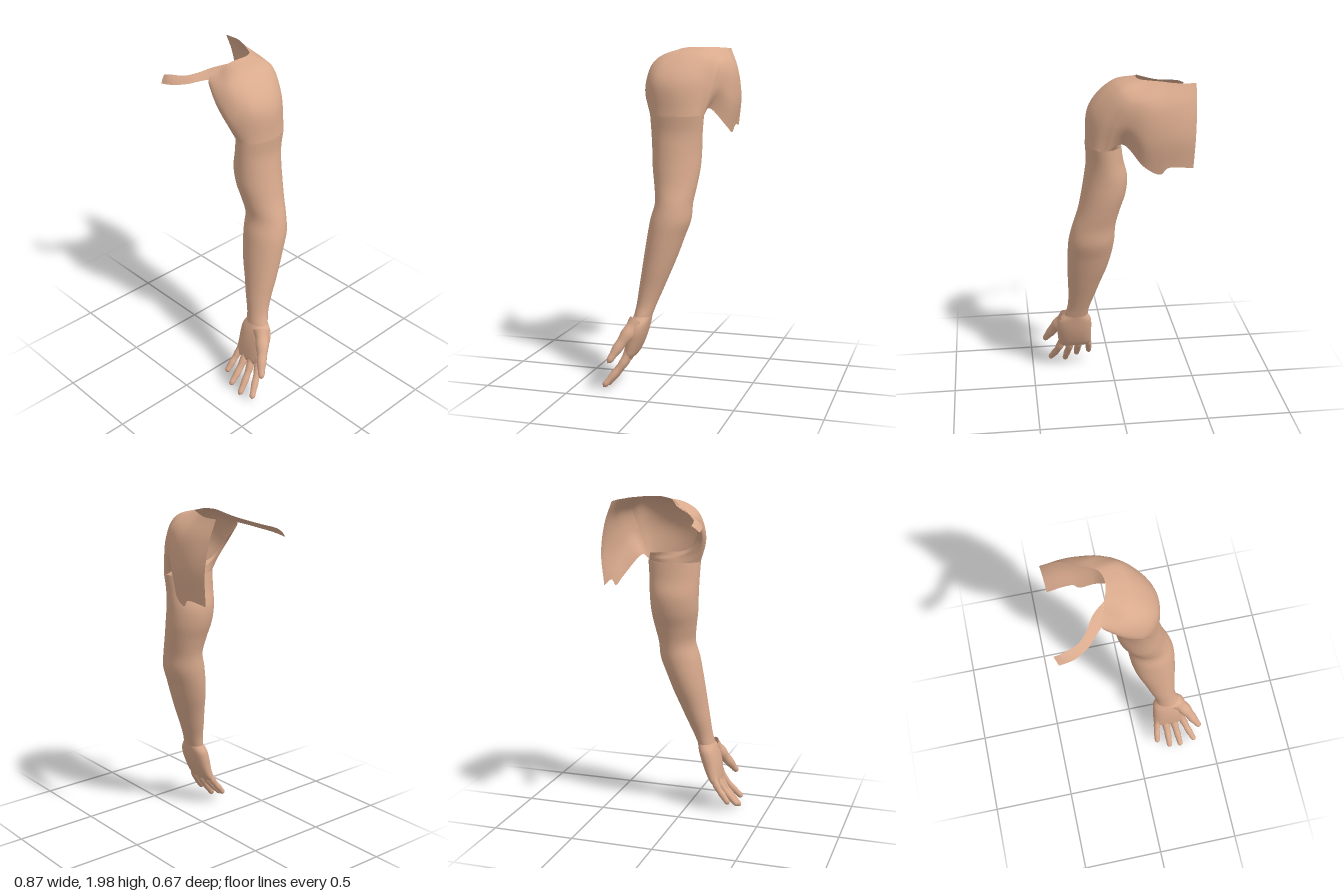
import * as THREE from 'three';
import { mergeVertices } from 'three/addons/utils/BufferGeometryUtils.js';

const V = (p) => new THREE.Vector3(...p);

// Smooth surface through a grid of control points (rows of equal length).
function patch(rows, nu, nv, closed = false) {
  const fine = rows.map((r) => new THREE.CatmullRomCurve3(r.map(V), closed).getPoints(nu));
  const pos = [], idx = [];
  for (let i = 0; i <= nu; i++) {
    const column = new THREE.CatmullRomCurve3(fine.map((r) => r[i]));
    for (const p of column.getPoints(nv)) pos.push(p.x, p.y, p.z);
  }
  for (let i = 0; i < nu; i++) {
    for (let j = 0; j < nv; j++) {
      const a = i * (nv + 1) + j, b = a + nv + 1;
      idx.push(a, b, a + 1, b, b + 1, a + 1);
    }
  }
  let g = new THREE.BufferGeometry();
  g.setAttribute('position', new THREE.Float32BufferAttribute(pos, 3));
  g.setIndex(idx);
  g = mergeVertices(g, 1e-5);
  g.computeVertexNormals();
  return g;
}

// Horizontal oval section from its bounds; k < 1 makes it boxier.
function section([y, x0, x1, z0, z1], k = 1, n = 16) {
  const bend = (v) => Math.sign(v) * Math.abs(v) ** k;
  return Array.from({ length: n }, (_, i) => {
    const a = (i / n) * Math.PI * 2;
    return [(x0 + x1) / 2 + (x1 - x0) / 2 * bend(Math.cos(a)), y,
      (z0 + z1) / 2 + (z1 - z0) / 2 * bend(Math.sin(a))];
  });
}

// Tapered finger with a rounded tip, swept along a path.
function finger(points, r0, r1) {
  const path = new THREE.CatmullRomCurve3(points.map(V));
  const nt = 24, nr = 14;
  let g = new THREE.TubeGeometry(path, nt, 1, nr);
  const pos = g.attributes.position, v = new THREE.Vector3();
  for (let i = 0; i <= nt; i++) {
    const t = i / nt, c = path.getPointAt(t);
    const round = t > 0.88 ? Math.sqrt(Math.max(0, 1 - ((t - 0.88) / 0.12) ** 2)) : 1;
    const knuckle = 1 + 0.06 * Math.cos(t * Math.PI * 6);
    const r = (r0 + (r1 - r0) * t) * round * knuckle;
    for (let j = 0; j <= nr; j++) {
      const k = i * (nr + 1) + j;
      v.fromBufferAttribute(pos, k).sub(c).multiplyScalar(r).add(c);
      pos.setXYZ(k, v.x, v.y, v.z);
    }
  }
  g.deleteAttribute('uv');
  g.deleteAttribute('normal');
  g = mergeVertices(g, 1e-5);
  g.computeVertexNormals();
  return g;
}

export function createModel() {
  const model = new THREE.Group();
  const skin = new THREE.MeshStandardMaterial({ color: 0xd9aa8d, side: THREE.DoubleSide });
  skin.name = 'skin';
  const add = (name, geometry, parent = model) => {
    const m = new THREE.Mesh(geometry, skin);
    m.name = name;
    parent.add(m);
  };

  // Arm: y, then the bounds in x and z
  const arm = [
    [1.6, -0.03, 0.175, -0.205, 0.115],
    [1.5, -0.045, 0.17, -0.195, 0.11],
    [1.4, -0.068, 0.183, -0.19, 0.105],
    [1.3, -0.058, 0.2, -0.185, 0.098],
    [1.2, -0.025, 0.222, -0.172, 0.08],
    [1.1, 0, 0.255, -0.155, 0.066],
    [1.0, 0.006, 0.277, -0.147, 0.09],
    [0.9, 0.02, 0.282, -0.112, 0.106],
    [0.8, 0.045, 0.282, -0.078, 0.12],
    [0.7, 0.08, 0.28, -0.04, 0.132],
    [0.6, 0.112, 0.276, 0, 0.145],
    [0.5, 0.145, 0.282, 0.04, 0.156],
    [0.44, 0.155, 0.3, 0.062, 0.166],
  ];
  add('arm', patch(arm.map((s) => section(s)), 48, 72, true));

  // Hand
  const hand = new THREE.Group();
  hand.name = 'hand';
  model.add(hand);
  const palm = [
    [0.44, 0.155, 0.3, 0.062, 0.166],
    [0.4, 0.135, 0.335, 0.072, 0.182],
    [0.35, 0.13, 0.348, 0.085, 0.196],
    [0.3, 0.13, 0.345, 0.102, 0.206],
    [0.25, 0.129, 0.34, 0.124, 0.212],
    [0.21, 0.13, 0.335, 0.146, 0.215],
    [0.188, 0.142, 0.322, 0.166, 0.212],
    [0.184, 0.23, 0.23, 0.19, 0.19],
  ];
  add('palm', patch(palm.map((s, i) => section(s, i ? 0.85 : 1)), 48, 32, true), hand);

  const fingers = {
    littleFinger: [[0.157, 0.25, 0.175], [0.146, 0.18, 0.207], [0.14, 0.13, 0.245], [0.135, 0.075, 0.288]],
    ringFinger: [[0.205, 0.25, 0.175], [0.208, 0.17, 0.213], [0.212, 0.11, 0.262], [0.213, 0.04, 0.328]],
    middleFinger: [[0.255, 0.25, 0.175], [0.266, 0.16, 0.212], [0.278, 0.09, 0.26], [0.29, 0.008, 0.325]],
    indexFinger: [[0.305, 0.25, 0.175], [0.33, 0.165, 0.208], [0.355, 0.1, 0.255], [0.387, 0.03, 0.312]],
  };
  for (const [name, points] of Object.entries(fingers)) {
    add(name, finger(points, name === 'littleFinger' ? 0.022 : 0.026, 0.018), hand);
  }
  add('thumb', finger([[0.285, 0.41, 0.135], [0.345, 0.33, 0.185], [0.384, 0.26, 0.228], [0.425, 0.188, 0.268]], 0.048, 0.018), hand);

  // Shoulder shell: ribs from the open inner edge down to the arm, running
  // from the armpit over the front, outside and back
  const ring = (deg) => {
    const a = THREE.MathUtils.degToRad(deg);
    return [0.0725 + 0.1025 * Math.cos(a), 1.6, -0.045 + 0.16 * Math.sin(a)];
  };
  const ribs = [
    [[-0.01, 1.65, -0.17], [0, 1.635, -0.175], [0.01, 1.615, -0.18], ring(240)],
    [[-0.02, 1.66, -0.09], [-0.02, 1.64, -0.09], [-0.025, 1.62, -0.095], ring(200)],
    [[-0.01, 1.68, 0.06], [-0.015, 1.66, 0.05], [-0.02, 1.63, 0.02], ring(160)],
    [[-0.05, 1.78, 0.13], [-0.015, 1.72, 0.138], [0.01, 1.66, 0.12], ring(120)],
    [[-0.17, 1.9, 0.12], [-0.08, 1.85, 0.16], [0.03, 1.73, 0.16], ring(90)],
    [[-0.15, 1.94, 0.06], [-0.02, 1.91, 0.12], [0.085, 1.78, 0.13], ring(60)],
    [[-0.13, 1.975, 0.01], [0, 1.945, 0.05], [0.13, 1.81, 0.07], ring(30)],
    [[-0.11, 1.99, -0.06], [0.03, 1.945, -0.04], [0.155, 1.8, -0.04], ring(0)],
    [[-0.11, 1.99, -0.11], [0.02, 1.95, -0.12], [0.13, 1.81, -0.13], ring(-30)],
    [[-0.13, 1.99, -0.155], [-0.01, 1.945, -0.2], [0.08, 1.81, -0.2], ring(-60)],
    [[-0.19, 1.99, -0.19], [-0.05, 1.9, -0.26], [0.025, 1.77, -0.245], ring(-90)],
  ];
  add('shoulder', patch(ribs, 24, 80));

  // Shoulder blade sheet, ribs from the top edge to the ragged lower edge
  const blade = [
    ribs[ribs.length - 1],
    [[-0.23, 1.99, -0.21], [-0.12, 1.89, -0.29], [-0.05, 1.76, -0.28], [-0.02, 1.64, -0.215]],
    [[-0.27, 1.988, -0.228], [-0.19, 1.87, -0.31], [-0.14, 1.7, -0.322], [-0.13, 1.53, -0.29]],
    [[-0.32, 1.986, -0.246], [-0.26, 1.87, -0.314], [-0.22, 1.7, -0.336], [-0.22, 1.487, -0.305]],
    [[-0.36, 1.985, -0.25], [-0.33, 1.87, -0.308], [-0.3, 1.7, -0.336], [-0.26, 1.525, -0.312]],
    [[-0.42, 1.985, -0.245], [-0.418, 1.87, -0.288], [-0.412, 1.7, -0.315], [-0.405, 1.517, -0.302]],
  ];
  add('shoulderBlade', patch(blade, 24, 40));

  // Collarbone strip reaching forward and inward
  add('collarbone', patch([
    [[-0.44, 1.87, 0.215], [-0.4, 1.885, 0.214], [-0.3, 1.9, 0.18], [-0.25, 1.918, 0.13], [-0.2, 1.945, 0.06], [-0.13, 1.975, 0.01]],
    [[-0.43, 1.855, 0.235], [-0.385, 1.868, 0.235], [-0.31, 1.88, 0.212], [-0.25, 1.9, 0.167], [-0.205, 1.92, 0.11], [-0.15, 1.94, 0.06]],
    [[-0.42, 1.835, 0.255], [-0.37, 1.845, 0.252], [-0.32, 1.855, 0.24], [-0.25, 1.872, 0.2], [-0.21, 1.887, 0.16], [-0.17, 1.9, 0.12]],
  ], 32, 8));

  return model;
}
